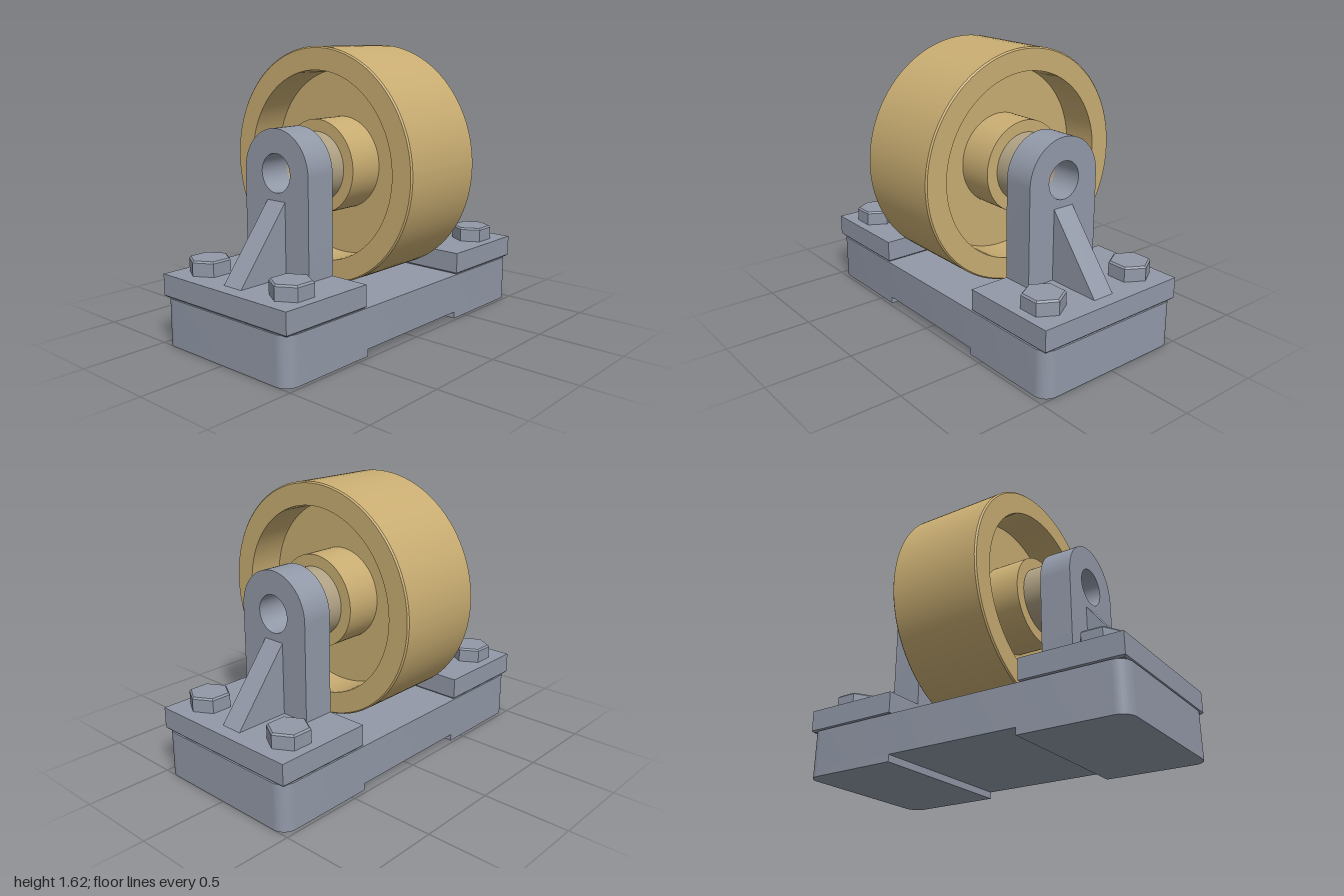
import * as THREE from 'three';
import { toCreasedNormals } from 'three/addons/utils/BufferGeometryUtils.js';

const AXLE_Y = 0.96;

export function createModel() {
  const castGrey = new THREE.MeshStandardMaterial({ color: 0x9299a8 });
  castGrey.name = 'cast grey';
  const rollerTan = new THREE.MeshStandardMaterial({ color: 0xc9ad72 });
  rollerTan.name = 'roller tan';
  const bushingBronze = new THREE.MeshStandardMaterial({ color: 0xb0a284 });
  bushingBronze.name = 'bushing bronze';

  const model = new THREE.Group();
  model.name = 'rollerStand';

  function add(parent, name, geometry, material, x = 0, y = 0, z = 0) {
    const mesh = new THREE.Mesh(toCreasedNormals(geometry, 0.5), material);
    mesh.name = name;
    mesh.position.set(x, y, z);
    parent.add(mesh);
    return mesh;
  }

  const extrude = (shape, depth) =>
    new THREE.ExtrudeGeometry(shape, { depth, bevelEnabled: false, curveSegments: 32 });

  // Rectangle in plan with rounded right corners, and rounded left corners if asked
  function slab(x0, x1, halfZ, r, height, roundLeft) {
    const q = roundLeft ? r : 0;
    const s = new THREE.Shape();
    s.moveTo(x0 + q, -halfZ);
    s.lineTo(x1 - r, -halfZ);
    s.absarc(x1 - r, -halfZ + r, r, -Math.PI / 2, 0, false);
    s.lineTo(x1, halfZ - r);
    s.absarc(x1 - r, halfZ - r, r, 0, Math.PI / 2, false);
    s.lineTo(x0 + q, halfZ);
    if (q) {
      s.absarc(x0 + q, halfZ - q, q, Math.PI / 2, Math.PI, false);
      s.lineTo(x0, -halfZ + q);
      s.absarc(x0 + q, -halfZ + q, q, Math.PI, Math.PI * 1.5, false);
    }
    return extrude(s, height).rotateX(-Math.PI / 2);
  }

  // Profile [radius, x] turned about the x axis
  const turned = (profile) =>
    new THREE.LatheGeometry(profile.map(([r, x]) => new THREE.Vector2(r, x)), 96).rotateZ(-Math.PI / 2);

  // Box whose lower edge is chamfered
  function chamferedBox(w, h, d, c) {
    const g = new THREE.BoxGeometry(w, h, d, 1, 2, 1);
    const p = g.attributes.position;
    for (let i = 0; i < p.count; i++) {
      const y = p.getY(i);
      if (Math.abs(y) < 1e-6) p.setY(i, -h / 2 + c);
      else if (y < 0) {
        p.setX(i, p.getX(i) - Math.sign(p.getX(i)) * c);
        p.setZ(i, p.getZ(i) - Math.sign(p.getZ(i)) * c);
      }
    }
    return g;
  }

  // Base body; the two feet leave a shallow channel underneath
  add(model, 'baseBody', slab(-1, 1, 0.48, 0.08, 0.23, true), castGrey, 0, 0.04, 0);

  // Wheel with recessed web on both sides and a central hub
  const half = [
    [0.19, 0.28], [0.265, 0.28], [0.265, 0.06], [0.535, 0.06],
    [0.535, 0.28], [0.657, 0.28], [0.665, 0.272],
  ];
  const wheelProfile = [
    ...half.map(([r, x]) => [r, -x]),
    ...half.slice().reverse(),
    [0.19, -0.28],
  ];
  add(model, 'wheel', turned(wheelProfile), rollerTan, 0, AXLE_Y, 0);

  // Hollow axle bushing
  add(model, 'axleBushing', turned([
    [0.107, -0.415], [0.187, -0.415], [0.197, -0.405],
    [0.197, 0.405], [0.187, 0.415], [0.107, 0.415], [0.107, -0.415],
  ]), bushingBronze, 0, AXLE_Y, 0);

  // Bearing pedestal outline with axle hole
  const upright = new THREE.Shape();
  upright.moveTo(-0.24, 0.4);
  upright.lineTo(0.24, 0.4);
  upright.lineTo(0.24, AXLE_Y);
  upright.absarc(0, AXLE_Y, 0.24, 0, Math.PI, false);
  upright.lineTo(-0.24, 0.4);
  const hole = new THREE.Path();
  hole.absarc(0, AXLE_Y, 0.107, 0, Math.PI * 2, true);
  upright.holes.push(hole);

  const ribShape = new THREE.Shape([
    new THREE.Vector2(0.6, 0.4), new THREE.Vector2(0.92, 0.4), new THREE.Vector2(0.6, 0.81),
  ]);

  for (const side of ['left', 'right']) {
    const support = new THREE.Group();
    support.name = side + 'Support';
    if (side === 'right') support.rotation.y = Math.PI;
    model.add(support);

    add(support, 'foot', slab(0.4, 1, 0.48, 0.08, 0.04, false), castGrey);
    add(support, 'mountPlate', chamferedBox(0.585, 0.13, 0.96, 0.01), castGrey, 0.7075, 0.335, 0);
    add(support, 'upright', extrude(upright, 0.185).rotateY(Math.PI / 2), castGrey, 0.415, 0, 0);
    add(support, 'rib', extrude(ribShape, 0.134), castGrey, 0, 0, -0.067);

    // Hex bolts with a chamfered top
    for (const z of [-0.32, 0.32]) {
      const bolt = new THREE.LatheGeometry([
        new THREE.Vector2(0.12, 0), new THREE.Vector2(0.12, 0.075),
        new THREE.Vector2(0.11, 0.085), new THREE.Vector2(0, 0.085),
      ], 6).rotateY(Math.PI / 2);
      add(support, 'hexBolt', bolt, castGrey, 0.805, 0.4, z);
    }
  }
  return model;
}
